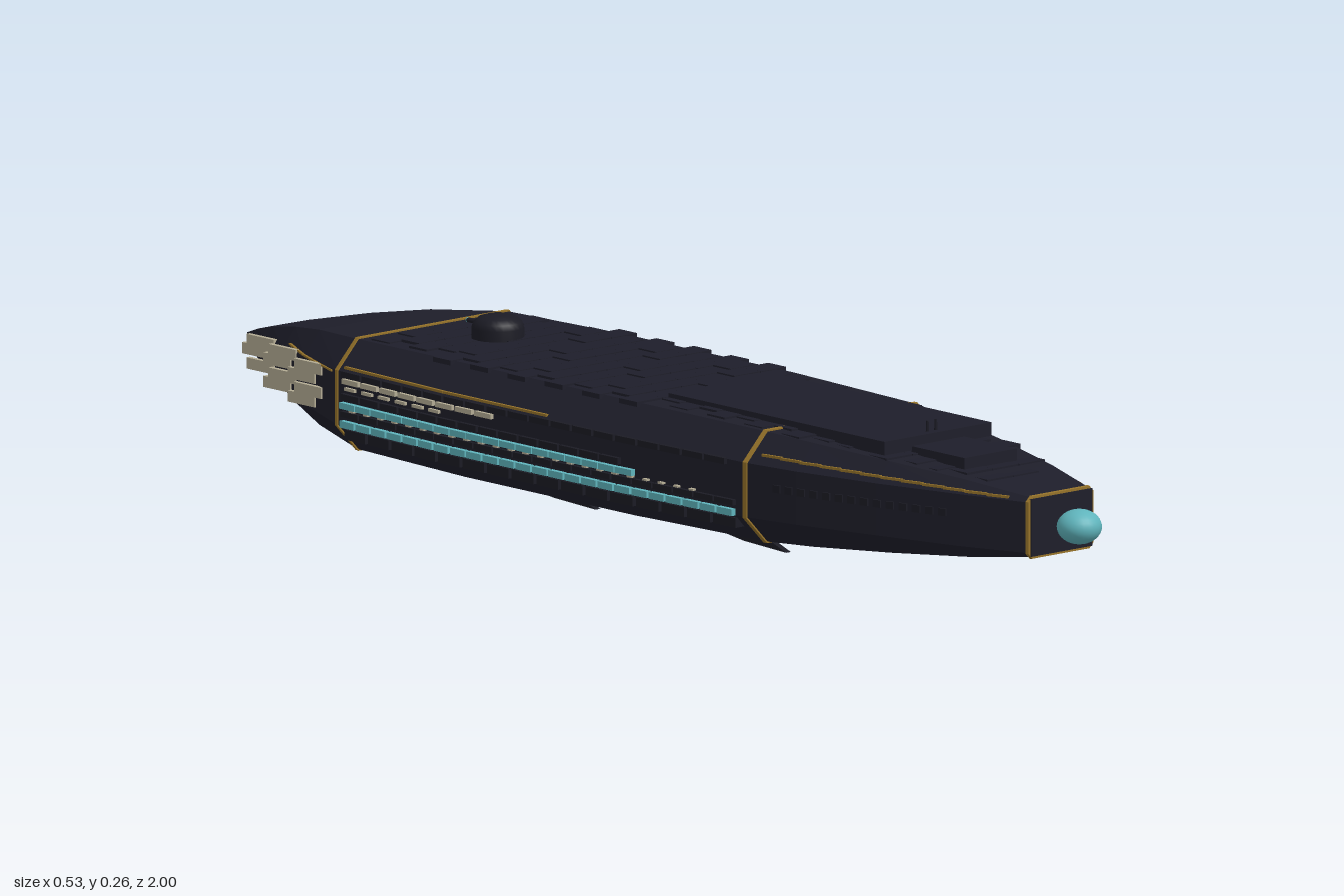
import * as THREE from 'three';
import { mergeGeometries } from 'three/addons/utils/BufferGeometryUtils.js';

const CX = -0.042, CY = 0.125;
// Hull stations: z, half width, half height, half width of deck, half height of flat side
const STATIONS = [
  [0.92, 0.067, 0.048, 0.06, 0.041], [0.8, 0.108, 0.062, 0.089, 0.042], [0.65, 0.15, 0.074, 0.121, 0.042],
  [0.5, 0.186, 0.084, 0.148, 0.043], [0.4, 0.203, 0.089, 0.16, 0.044], [0.1, 0.214, 0.092, 0.169, 0.045],
  [-0.3, 0.214, 0.092, 0.169, 0.045], [-0.565, 0.203, 0.089, 0.16, 0.044], [-0.7, 0.152, 0.077, 0.118, 0.038],
  [-0.8, 0.105, 0.061, 0.08, 0.03], [-0.9, 0.052, 0.04, 0.038, 0.02], [-0.96, 0.022, 0.024, 0.015, 0.012],
  [-1, 0.003, 0.01, 0.002, 0.005],
];

function section(z) {
  let i = 0;
  while (i < STATIONS.length - 2 && z < STATIONS[i + 1][0]) i++;
  const a = STATIONS[i], b = STATIONS[i + 1], t = (a[0] - z) / (a[0] - b[0]);
  return a.map((v, k) => v + (b[k] - v) * t);
}

// Half width of the hull at a given z and world height
function sideX(z, y) {
  const [, w, h, d, s] = section(z);
  const dy = Math.min(Math.abs(y - CY), h);
  return dy <= s ? w : w + (d - w) * (dy - s) / (h - s);
}

function octagon([z, w, h, d, s], grow = 0) {
  w += grow; h += grow; d += grow * 0.4; s += grow * 0.4;
  return [[w, -s], [w, s], [d, h], [-d, h], [-w, s], [-w, -s], [-d, -h], [d, -h]]
    .map(([x, y]) => new THREE.Vector3(CX + x, CY + y, z));
}

// Skin a list of octagon rings, front to back, with closed ends
function loft(rings) {
  const p = [];
  const tri = (...v) => v.forEach((q) => p.push(q.x, q.y, q.z));
  for (let r = 0; r < rings.length - 1; r++) {
    for (let i = 0; i < 8; i++) {
      const j = (i + 1) % 8, A = rings[r], B = rings[r + 1];
      tri(A[i], B[i], A[j]);
      tri(A[j], B[i], B[j]);
    }
  }
  const F = rings[0], E = rings[rings.length - 1];
  for (let i = 1; i < 7; i++) {
    tri(F[0], F[i], F[i + 1]);
    tri(E[0], E[i + 1], E[i]);
  }
  const g = new THREE.BufferGeometry();
  g.setAttribute('position', new THREE.Float32BufferAttribute(p, 3));
  g.computeVertexNormals();
  return g;
}

const box = (w, h, d, x, y, z, yaw = 0) =>
  new THREE.BoxGeometry(w, h, d).rotateY(yaw).translate(x, y, z);

// Row of blocks along one side of the hull; fill is the solid part of each pitch
function sideRow(side, y0, z0, z1, count, fill, height, out, rise = 0) {
  const list = [], pitch = (z1 - z0) / count;
  for (let i = 0; i < count; i++) {
    const z = z0 + (i + 0.5) * pitch, y = y0 + rise * (i + 0.5) / count;
    const slope = (sideX(z + 0.01, y) - sideX(z - 0.01, y)) / 0.02;
    list.push(box(0.02, height, Math.abs(pitch) * fill, CX + side * (sideX(z, y) + out - 0.01), y, z, side * Math.atan(slope)));
  }
  return list;
}

export function createModel() {
  const group = new THREE.Group();
  const mat = (name, color, flatShading = false) => {
    const m = new THREE.MeshStandardMaterial({ color, flatShading });
    m.name = name;
    return m;
  };
  const hullMat = mat('hull navy', 0x1e1e2a, true), trimMat = mat('dark plating', 0x1b1b24);
  const gold = mat('gold trim', 0x96732a), beige = mat('pale panel', 0xb4ac94), cyan = mat('cyan glow', 0x5fb4bc);
  const add = (name, geo, material) => {
    const mesh = new THREE.Mesh(Array.isArray(geo) ? mergeGeometries(geo) : geo, material);
    mesh.name = name;
    group.add(mesh);
  };

  add('hull', loft(STATIONS.map((s) => octagon(s))), hullMat);

  // Gold bands round the hull and round the bow face
  for (const [z, t] of [[0.4, 0.008], [-0.565, 0.008], [0.918, 0.005]]) {
    const band = [z + t / 2, z - t / 2].map((q) => octagon(section(q), 0.0025));
    add('goldBand', loft(band), gold);
  }
  add('bowFace', box(0.131, 0.093, 0.004, CX, CY, 0.921), hullMat);
  add('bowOrb', new THREE.SphereGeometry(1, 24, 16).scale(0.036, 0.028, 0.036).translate(CX, CY, 0.964), cyan);

  // Staggered armour tiles on the deck
  const tiles = [];
  let row = 0;
  for (let z = -0.52; z < 0.8; z += 0.044, row++) {
    const [, , h, d] = section(z + 0.022);
    const n = Math.floor((2 * d) / 0.056), shift = row % 2 ? 0.012 : -0.012;
    for (let i = 0; i < n; i++) {
      const lift = ((i * 7 + row * 3) % 4) * 0.0006;
      tiles.push(box(0.054, 0.008, 0.042, CX + (i - (n - 1) / 2) * 0.056 + shift, CY + h - 0.002 + lift, z));
    }
  }
  add('deckTiles', tiles, hullMat);

  // Raised foredeck, its forward step and two small masts
  add('foredeck', box(0.228, 0.022, 0.51, CX, 0.215, 0.375), hullMat);
  add('foredeckStep', box(0.112, 0.03, 0.125, CX, 0.196, 0.692), hullMat);
  for (const s of [-1, 1]) {
    add('foreMast', new THREE.CylinderGeometry(0.002, 0.003, 0.025, 8).translate(CX + s * 0.009, 0.231, 0.615), trimMat);
    add('turretBarrel', new THREE.CylinderGeometry(0.004, 0.004, 0.04, 8).rotateX(Math.PI / 2)
      .translate(CX + s * 0.014, 0.24, -0.445), trimMat);
    add('barrelTip', new THREE.SphereGeometry(0.004, 8, 6).translate(CX + s * 0.014, 0.24, -0.465), cyan);
  }

  // Domed turret
  const dome = [[0.042, 0.21], [0.042, 0.235], [0.039, 0.244], [0.031, 0.251], [0.018, 0.255], [0, 0.256]];
  add('turret', new THREE.LatheGeometry(dome.map(([x, y]) => new THREE.Vector2(x, y)), 24)
    .translate(CX, 0, -0.41), trimMat);

  // Side decks, light strips, trim and stern plates, mirrored
  for (const s of [-1, 1]) {
    add('sideRibs', [
      ...sideRow(s, 0.068, 0.38, -0.55, 16, 0.88, 0.016, 0.012),
      ...sideRow(s, 0.102, 0.38, -0.55, 20, 0.92, 0.009, 0.007),
      ...sideRow(s, 0.13, 0.12, -0.55, 14, 0.9, 0.01, 0.007),
      ...sideRow(s, 0.166, 0.36, -0.55, 18, 0.9, 0.01, 0.006),
      ...sideRow(s, 0.135, 0.78, 0.45, 14, 0.6, 0.012, 0.003),
    ], trimMat);
    add('lightStrips', [
      ...sideRow(s, 0.086, 0.38, -0.55, 24, 0.88, 0.011, 0.009),
      ...sideRow(s, 0.116, 0.15, -0.55, 18, 0.95, 0.01, 0.009),
    ], cyan);
    add('paleDashes', [
      ...sideRow(s, 0.155, -0.18, -0.55, 8, 0.85, 0.008, 0.006),
      ...sideRow(s, 0.143, -0.3, -0.55, 6, 0.6, 0.005, 0.005),
      ...sideRow(s, 0.109, 0.3, -0.54, 24, 0.3, 0.003, 0.007),
    ], beige);
    add('goldStripes', [
      ...sideRow(s, 0.17, 0.88, 0.42, 12, 1.04, 0.004, 0.002, 0.013),
      ...sideRow(s, 0.175, -0.06, -0.55, 10, 1, 0.004, 0.003),
      ...sideRow(s, 0.165, -0.58, -0.78, 5, 1.04, 0.003, 0.002),
    ], gold);

    // Overlapping plates that stand off the tapering stern
    const plates = [];
    [[-0.625, 4], [-0.735, 4], [-0.85, 3]].forEach(([z0, rows]) => {
      for (let r = 0; r < rows; r++) {
        const y = CY + ((rows - 1) / 2 - r) * 0.019 + 0.004, z = z0 - (r % 2) * 0.025;
        plates.push(box(0.008, 0.018, 0.064, CX + s * (sideX(z, y) - 0.001), y, z - 0.032));
      }
    });
    add('sternPlates', plates, beige);

    // Swept ventral fins
    for (const tip of [0.36, -0.09]) {
      const fin = new THREE.Shape([[0, 0], [0.1, 0.004], [0.39, 0.042], [0.12, 0.042]]
        .map(([x, y]) => new THREE.Vector2(x - tip, y)));
      add('ventralFin', new THREE.ExtrudeGeometry(fin, { depth: 0.01, bevelEnabled: false })
        .rotateY(Math.PI / 2).translate(CX + s * 0.075 - 0.005, 0, 0), trimMat);
    }
  }

  // Pale dashes along the keel
  const keel = [];
  for (let z = 0.88; z > -0.9; z -= 0.03) {
    keel.push(box(0.007, 0.006, 0.024, CX, CY - section(z)[2] - 0.0005, z));
  }
  add('keelStrip', keel, beige);

  // Docking pod and two landing pads on the left side
  add('dockingPod', [box(0.05, 0.036, 0.22, 0.18, 0.137, 0.26), box(0.03, 0.054, 0.17, 0.185, 0.129, 0.26),
    box(0.014, 0.02, 0.2, 0.202, 0.137, 0.26)], trimMat);
  add('padMounts', [box(0.04, 0.03, 0.16, 0.14, 0.135, 0.5), box(0.03, 0.03, 0.12, 0.172, 0.135, -0.19)], trimMat);
  add('landingPads', [box(0.075, 0.005, 0.11, 0.17, 0.136, 0.537), box(0.09, 0.005, 0.12, 0.218, 0.136, -0.19)], beige);
  add('padTrim', [box(0.004, 0.004, 0.16, 0.16, 0.149, 0.5)], gold);
  return group;
}
